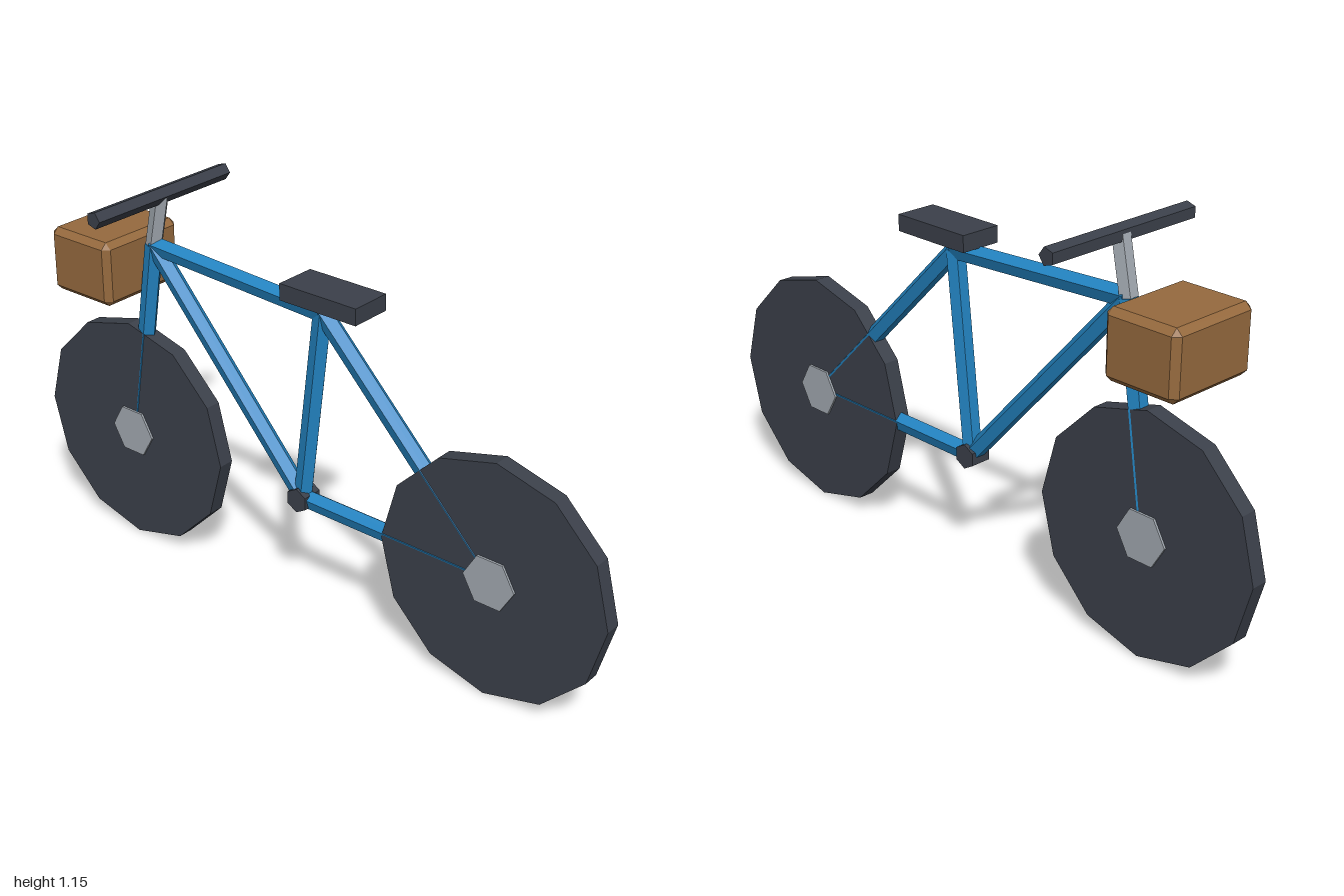
import * as THREE from 'three';
import { ConvexGeometry } from 'three/addons/geometries/ConvexGeometry.js';

function material(name, color) {
  const m = new THREE.MeshStandardMaterial({ color });
  m.name = name;
  return m;
}

export function createModel() {
  const group = new THREE.Group();
  const blue = material('frame blue', 0x2384c2);
  const dark = material('charcoal', 0x3b404a);
  const silver = material('silver', 0xa2a9b1);
  const brown = material('basket brown', 0x966a3e);
  for (const m of [blue, dark, silver, brown]) m.flatShading = true;

  function add(name, geometry, mat) {
    const mesh = new THREE.Mesh(geometry, mat);
    mesh.name = name;
    group.add(mesh);
    return mesh;
  }

  // Five-sided tube between two points
  function tube(name, from, to, radius, mat) {
    const a = new THREE.Vector3(...from);
    const b = new THREE.Vector3(...to);
    const dir = b.clone().sub(a);
    const mesh = add(name, new THREE.CylinderGeometry(radius, radius, dir.length(), 5), mat);
    mesh.position.copy(a).add(b).multiplyScalar(0.5);
    mesh.quaternion.setFromUnitVectors(new THREE.Vector3(0, 1, 0), dir.normalize());
  }

  // Disc with its axle along x
  function disc(name, radius, width, sides, [x, y, z], mat, turn = 0) {
    const geometry = new THREE.CylinderGeometry(radius, radius, width, sides);
    geometry.rotateY(turn).rotateZ(Math.PI / 2);
    add(name, geometry, mat).position.set(x, y, z);
  }

  const rearHub = [0, 0.355, 0.647];
  const frontHub = [0, 0.355, -0.647];
  const crank = [0, 0.357, 0];
  const seatTop = [0, 0.943, 0.067];
  const head = [0, 0.973, -0.55];
  const barCentre = [0, 1.13, -0.517];

  // Wheels and hubs
  for (const [side, centre] of [['rear', rearHub], ['front', frontHub]]) {
    disc(side + 'Wheel', 0.353, 0.049, 12, centre, dark);
    disc(side + 'Hub', 0.08, 0.062, 6, centre, silver);
  }

  // Frame
  const r = 0.0275;
  tube('chainStay', rearHub, crank, r, blue);
  tube('seatStay', rearHub, seatTop, r, blue);
  tube('seatTube', crank, seatTop, r, blue);
  tube('downTube', crank, head, r, blue);
  tube('topTube', seatTop, head, r, blue);
  tube('fork', frontHub, head, r, blue);
  disc('crankShell', 0.037, 0.064, 6, crank, dark, Math.PI / 6);

  // Steering
  tube('stem', head, barCentre, 0.0255, silver);
  tube('handlebar', [-0.258, 1.13, -0.517], [0.258, 1.13, -0.517], 0.025, dark);

  // Saddle
  add('saddle', new THREE.BoxGeometry(0.126, 0.048, 0.255), dark).position.set(0, 0.995, 0.097);

  // Basket: box with chamfered edges
  const half = [0.145, 0.096, 0.115];
  const chamfer = 0.018;
  const corners = [];
  for (const sx of [-1, 1]) for (const sy of [-1, 1]) for (const sz of [-1, 1]) {
    for (let face = 0; face < 3; face++) {
      const size = half.map((h, axis) => (axis === face ? h : h - chamfer));
      corners.push(new THREE.Vector3(sx * size[0], sy * size[1], sz * size[2]));
    }
  }
  add('basket', new ConvexGeometry(corners), brown).position.set(0, 0.905, -0.711);

  return group;
}
